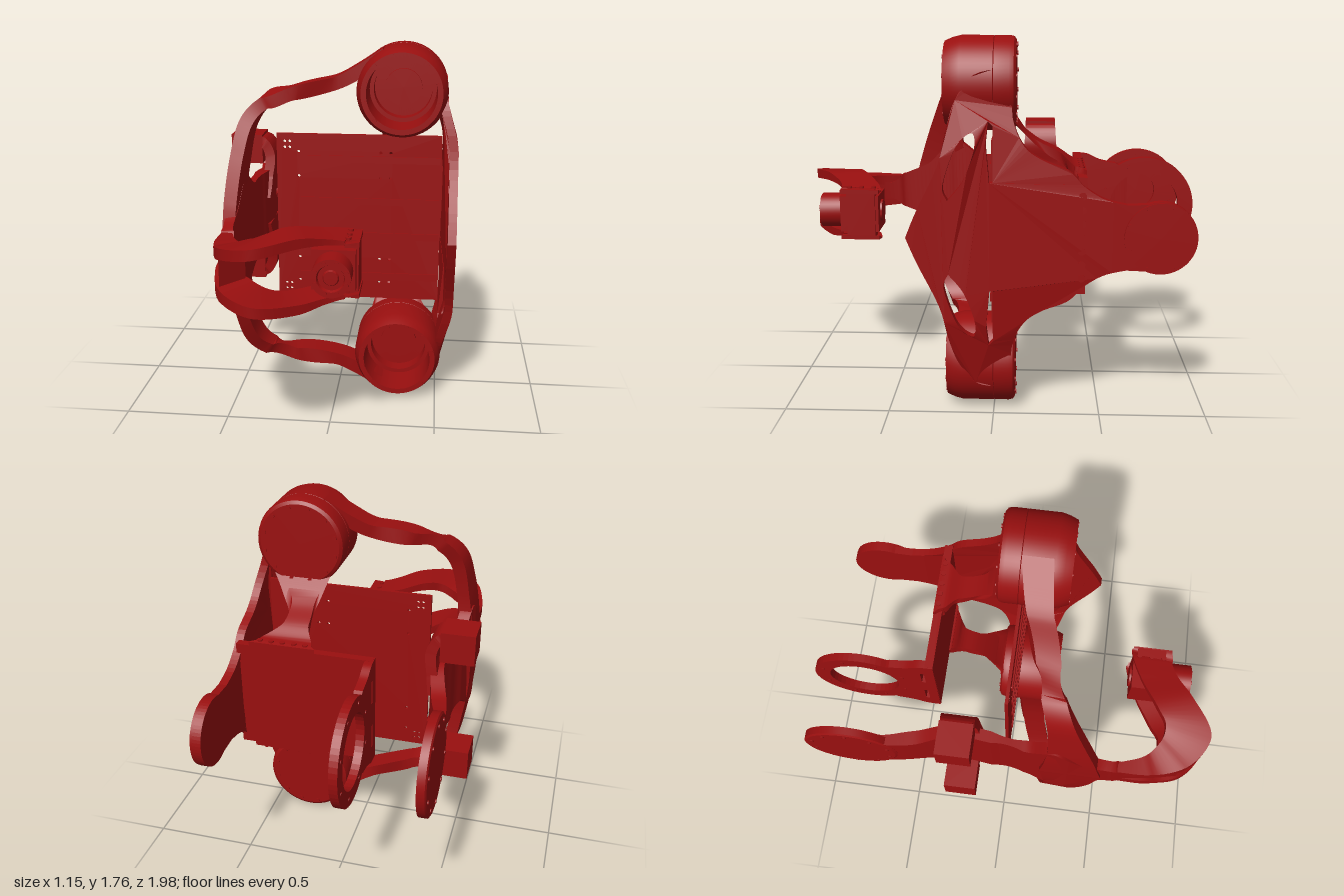
import * as THREE from 'three';
import { toCreasedNormals } from 'three/addons/utils/BufferGeometryUtils.js';

const material = new THREE.MeshStandardMaterial({ color: 0x990f0f, side: THREE.DoubleSide });
const MID = 0.88; // height of the symmetry plane

function add(parent, name, geometry, x = 0, y = 0, z = 0) {
  const mesh = new THREE.Mesh(geometry, material);
  mesh.name = name;
  mesh.position.set(x, y, z);
  parent.add(mesh);
  return mesh;
}

// Rectangular section swept through stations [centre xyz, half-width vector xyz, half-thickness vector xyz]
function loft(stations, steps = 48) {
  const vec = o => new THREE.CatmullRomCurve3(stations.map(s => new THREE.Vector3(s[o], s[o + 1], s[o + 2])));
  const [c, u, v] = [vec(0), vec(3), vec(6)];
  const pos = [], idx = [];
  for (let i = 0; i <= steps; i++) {
    const t = i / steps, p = c.getPoint(t), a = u.getPoint(t), b = v.getPoint(t);
    for (const [m, n] of [[1, 1], [-1, 1], [-1, -1], [1, -1]])
      pos.push(p.x + m * a.x + n * b.x, p.y + m * a.y + n * b.y, p.z + m * a.z + n * b.z);
    if (i < steps) for (let k = 0; k < 4; k++) {
      const q = i * 4 + k, r = i * 4 + (k + 1) % 4;
      idx.push(q, r, q + 4, r, r + 4, q + 4);
    }
  }
  const e = steps * 4;
  idx.push(0, 2, 1, 0, 3, 2, e, e + 1, e + 2, e, e + 2, e + 3);
  const g = new THREE.BufferGeometry();
  g.setAttribute('position', new THREE.Float32BufferAttribute(pos, 3));
  g.setIndex(idx);
  return toCreasedNormals(g, 0.6);
}

const circle = (x, y, r, n = 40) => Array.from({ length: n }, (_, i) =>
  new THREE.Vector2(x + r * Math.cos(i / n * 2 * Math.PI), y + r * Math.sin(i / n * 2 * Math.PI)));
const smooth = pts => new THREE.SplineCurve(pts.map(p => new THREE.Vector2(...p))).getPoints(60);

// Flat side plate drawn in (z, height from MID), mirrored top to bottom, ending in a round pad
function sidePlate(half, padRadius, startAngle, holes, thickness) {
  const top = smooth(half);
  for (let i = 0; i <= 20; i++) {
    const a = startAngle + (Math.PI - startAngle) * i / 20;
    top.push(new THREE.Vector2(-0.75 + padRadius * Math.cos(a), padRadius * Math.sin(a)));
  }
  const bottom = top.slice(1, -1).reverse().map(p => new THREE.Vector2(p.x, -p.y));
  const shape = new THREE.Shape([...top, ...bottom]);
  holes.forEach(h => shape.holes.push(new THREE.Path(h)));
  const g = new THREE.ExtrudeGeometry(shape, { depth: thickness, bevelEnabled: false });
  g.rotateY(-Math.PI / 2); // drawing x becomes z, depth becomes -x
  g.translate(thickness, MID, 0);
  return g;
}

// Ring of small bolt heads on a disc; axis is 'x' or 'z'
function bolts(parent, axis, cx, cy, cz, radius, count, depth = 0.012) {
  for (let i = 0; i < count; i++) {
    const a = (i + 0.5) / count * Math.PI * 2, p = radius * Math.cos(a), q = radius * Math.sin(a);
    const g = new THREE.CylinderGeometry(0.01, 0.01, depth, 10);
    if (axis === 'x') add(parent, 'bolt', g.rotateZ(Math.PI / 2), cx, cy + q, cz + p);
    else add(parent, 'bolt', g.rotateX(Math.PI / 2), cx + p, cy + q, cz);
  }
}

// Parts that repeat above and below the symmetry plane
function createHalf() {
  const half = new THREE.Group();
  const profile = [[0, -0.1], [0.195, -0.1], [0.21, -0.09], [0.215, -0.07], [0.215, -0.002], [0.211, 0], [0.215, 0.002],
    [0.215, 0.15], [0.205, 0.19], [0.19, 0.225], [0.165, 0.225], [0.16, 0.05], [0.14, 0.05], [0.14, -0.02],
    [0.09, -0.02], [0.09, 0], [0, 0]];
  const drum = new THREE.LatheGeometry(profile.map(p => new THREE.Vector2(...p)), 64).rotateX(Math.PI / 2);
  add(half, 'drumHousing', toCreasedNormals(drum, 0.5), 0.305, 1.545, 0);
  bolts(half, 'z', 0.305, 1.545, -0.1, 0.18, 12);
  bolts(half, 'z', 0.305, 1.545, 0.225, 0.177, 12, 0.006);

  // Curved tube frame from the drum round to the side column
  add(half, 'loopFrame', loft([
    [0.22, 1.715, 0.07, 0, 0, 0.07, -0.01, 0.028, 0],
    [0.1, 1.635, 0.09, 0, 0, 0.065, -0.014, 0.028, 0],
    [0, 1.585, 0.11, 0, 0, 0.06, -0.006, 0.03, 0],
    [-0.2, 1.54, 0.17, 0, 0, 0.055, -0.006, 0.03, 0],
    [-0.33, 1.5, 0.21, 0, 0, 0.055, -0.018, 0.024, 0],
    [-0.4, 1.42, 0.25, 0, 0.01, 0.06, -0.029, 0.012, 0],
    [-0.44, 1.25, 0.29, 0, 0.03, 0.08, -0.03, 0.004, 0],
    [-0.465, 1.05, 0.32, 0, 0.01, 0.12, -0.03, 0, 0],
    [-0.47, MID, 0.33, 0, 0, 0.15, -0.03, 0, 0]], 64));

  // Waisted arm from the drum down to the rear bracket
  add(half, 'waistedArm', loft([
    [0.3, 1.42, -0.06, 0.14, 0, 0, 0, 0.03, 0.03],
    [0.285, 1.34, -0.12, 0.1, 0, 0, 0, 0.025, 0.025],
    [0.265, 1.25, -0.22, 0.055, 0, 0, 0, 0.03, 0.02],
    [0.265, 1.2, -0.31, 0.06, 0, 0, 0, 0.03, 0.01],
    [0.29, 1.15, -0.37, 0.12, 0, 0, 0, 0.03, 0],
    [0.3, 1.14, -0.42, 0.16, 0, 0, 0, 0.03, 0]]));
  for (let i = 0; i < 5; i++)
    add(half, 'armBolt', new THREE.CylinderGeometry(0.013, 0.013, 0.02, 12), 0.19 + i * 0.055, 1.17, -0.4);

  // Side lug with rounded inner hook
  add(half, 'sideLug', new THREE.BoxGeometry(0.16, 0.15, 0.16), -0.5, 1.195, -0.215);
  add(half, 'lugHook', loft([
    [-0.47, 1.245, -0.215, 0, 0, 0.08, 0, 0.025, 0],
    [-0.41, 1.225, -0.215, 0, 0, 0.08, 0.015, 0.02, 0],
    [-0.38, 1.16, -0.215, 0, 0, 0.085, 0.025, 0.006, 0],
    [-0.39, 1.05, -0.21, 0, 0, 0.1, 0.025, 0, 0],
    [-0.4, 0.95, -0.2, 0, 0, 0.12, 0.025, 0, 0]]));

  // Fork of the front claw: starts at the column, rises and sweeps round to the camera
  add(half, 'clawFork', loft([
    [-0.455, 0.93, 0.55, 0.025, 0, 0.01, 0, 0.03, 0],
    [-0.43, 0.945, 0.7, 0.045, 0, -0.02, 0, 0.025, 0],
    [-0.36, 0.975, 0.82, 0.055, 0, -0.07, 0, 0.025, 0],
    [-0.25, 1.005, 0.87, 0.015, 0, -0.11, 0, 0.024, 0],
    [-0.12, 1.025, 0.795, -0.03, 0, -0.085, 0, 0.022, 0],
    [0, 1.012, 0.715, -0.02, 0, -0.085, 0, 0.014, 0],
    [0.1, 1.0, 0.675, 0, 0, -0.095, 0, 0.01, 0],
    [0.16, 0.995, 0.675, 0, 0, -0.095, 0, 0.01, 0]]));
  for (let i = 0; i < 3; i++)
    add(half, 'forkBolt', new THREE.CylinderGeometry(0.012, 0.012, 0.03, 10), 0.11, 1.0, 0.61 + i * 0.06);
  return half;
}

export function createModel() {
  const model = new THREE.Group();
  const upper = createHalf(), lower = createHalf();
  upper.name = 'upperHalf';
  lower.name = 'lowerHalf';
  lower.scale.y = -1;
  lower.position.y = 2 * MID;
  model.add(upper, lower);

  // Central mounting plate with small holes and raised rails
  const plate = new THREE.Shape([[-0.32, 0.455], [0.5, 0.455], [0.5, 1.31], [-0.32, 1.31]].map(p => new THREE.Vector2(...p)));
  for (const s of [-1, 1]) {
    for (const x of [-0.28, -0.255]) for (const h of [0.36, 0.39])
      plate.holes.push(new THREE.Path(circle(x, MID + s * h, 0.008, 10)));
    for (const x of [-0.21, 0.2, 0.25]) for (const h of [0.215, 0.34])
      plate.holes.push(new THREE.Path(circle(x, MID + s * h, 0.008, 10)));
    for (const h of [0.305, 0.09])
      add(model, 'plateRail', new THREE.BoxGeometry(0.7, 0.035, 0.01), 0.145, MID + s * h, 0.01);
  }
  add(model, 'mountingPlate', new THREE.ExtrudeGeometry(plate, { depth: 0.016, bevelEnabled: false }), 0, 0, -0.008);

  // Side plate with leaf-shaped openings; it bulges outward in front and leans in towards the drums
  const leaf = [[0.2, 0.17], [0.22, 0.24], [0.16, 0.41], [0.09, 0.47], [0.08, 0.4], [0.13, 0.26], [0.2, 0.17]];
  const slit = [[0.015, 0.25], [0.03, 0.42], [0.02, 0.52], [0, 0.5], [0, 0.25]];
  const holes = [1, -1].flatMap(s => [smooth(leaf).slice(0, -1), slit.map(p => new THREE.Vector2(...p))]
    .map(h => h.map(p => new THREE.Vector2(p.x, s * p.y))));
  const side = sidePlate([[0.39, 0], [0.34, 0.12], [0.24, 0.33], [0.2, 0.5], [0.16, 0.62], [0.08, 0.72], [-0.06, 0.72],
    [-0.09, 0.52], [-0.14, 0.41], [-0.22, 0.35], [-0.34, 0.3], [-0.41, 0.23], [-0.5, 0.175], [-0.6, 0.15]],
  0.165, 1.2, holes, 0.04);
  const p = side.attributes.position;
  for (let i = 0; i < p.count; i++) {
    const h = Math.abs(p.getY(i) - MID);
    p.setX(i, p.getX(i) + 0.505 + 0.03 * THREE.MathUtils.smoothstep(p.getZ(i), -0.1, 0.06)
      - 0.06 * THREE.MathUtils.smoothstep(h, 0.38, 0.68));
  }
  side.computeVertexNormals();
  add(model, 'openSidePlate', side);
  add(model, 'sidePadCover', new THREE.CylinderGeometry(0.163, 0.163, 0.015, 48).rotateZ(Math.PI / 2), 0.55, MID, -0.75);
  bolts(model, 'x', 0.557, MID, -0.75, 0.15, 8, 0.006);
  for (let i = -3; i <= 3; i++)
    add(model, 'sideBolt', new THREE.CylinderGeometry(0.018, 0.018, 0.012, 14).rotateZ(Math.PI / 2), 0.545, MID + i * 0.063, -0.4);

  // Rear bracket: cross wall and the arm with an open ring
  add(model, 'rearWall', new THREE.BoxGeometry(0.66, 0.54, 0.04), 0.195, MID, -0.4);
  const slots = [-1, 1].map(s => [[-0.45, 0.06], [-0.43, 0.06], [-0.43, 0.18], [-0.45, 0.18]].map(q => new THREE.Vector2(q[0], s * q[1])));
  add(model, 'ringArm', sidePlate([[-0.38, 0.27], [-0.45, 0.265], [-0.52, 0.235], [-0.6, 0.22]], 0.25, 1.0,
    [circle(-0.75, 0, 0.175), ...slots], 0.04), -0.14);
  bolts(model, 'x', -0.12, MID, -0.75, 0.215, 8, 0.046);

  // Long side arm running from the rear disc to the front claw
  add(model, 'longArm', loft([
    [-0.485, MID, -0.7, 0, 0.18, 0, 0.02, 0, 0],
    [-0.48, MID, -0.58, 0, 0.14, 0, 0.025, 0, 0],
    [-0.45, MID, -0.44, 0, 0.13, 0, 0.035, 0, 0],
    [-0.405, MID, -0.24, 0, 0.2, 0, 0.03, 0, 0],
    [-0.42, MID, -0.06, 0, 0.21, 0, 0.028, 0, 0],
    [-0.44, MID, 0.1, 0, 0.2, 0, 0.028, 0, 0],
    [-0.46, MID, 0.25, 0, 0.28, 0, 0.03, 0, 0],
    [-0.465, MID, 0.4, 0, 0.15, 0, 0.03, 0, 0],
    [-0.455, MID, 0.55, 0, 0.085, 0, 0.03, 0, 0],
    [-0.42, MID, 0.71, 0, 0.085, 0, 0.035, 0, -0.02],
    [-0.38, MID, 0.8, 0, 0.1, 0, 0.045, 0, -0.055]], 80));
  const disc = [[0.1, 0], [0.23, 0], [0.23, 0.036], [0.22, 0.042], [0, 0.042], [0, 0.025], [0.1, 0.025], [0.1, 0]];
  add(model, 'longArmDisc', toCreasedNormals(new THREE.LatheGeometry(disc.map(q => new THREE.Vector2(...q)), 56)
    .rotateZ(Math.PI / 2), 0.5), -0.465, MID, -0.75);
  bolts(model, 'x', -0.487, MID, -0.75, 0.195, 10, 0.05);

  // Camera held between the claw forks
  add(model, 'cameraBody', new THREE.BoxGeometry(0.19, 0.18, 0.19), 0.05, MID, 0.68);
  add(model, 'cameraBracket', new THREE.BoxGeometry(0.06, 0.25, 0.14), 0.125, MID, 0.67);
  const lens = [[0, -0.1], [0.055, -0.1], [0.055, 0], [0.085, 0], [0.085, 0.205], [0.06, 0.205], [0.055, 0.19],
    [0.035, 0.19], [0.03, 0.2], [0, 0.2]];
  add(model, 'cameraLens', toCreasedNormals(new THREE.LatheGeometry(lens.map(q => new THREE.Vector2(...q)), 36)
    .rotateX(Math.PI / 2), 0.5), 0.05, MID, 0.675);
  bolts(model, 'z', 0.05, MID, 0.88, 0.07, 8, 0.008);
  return model;
}
